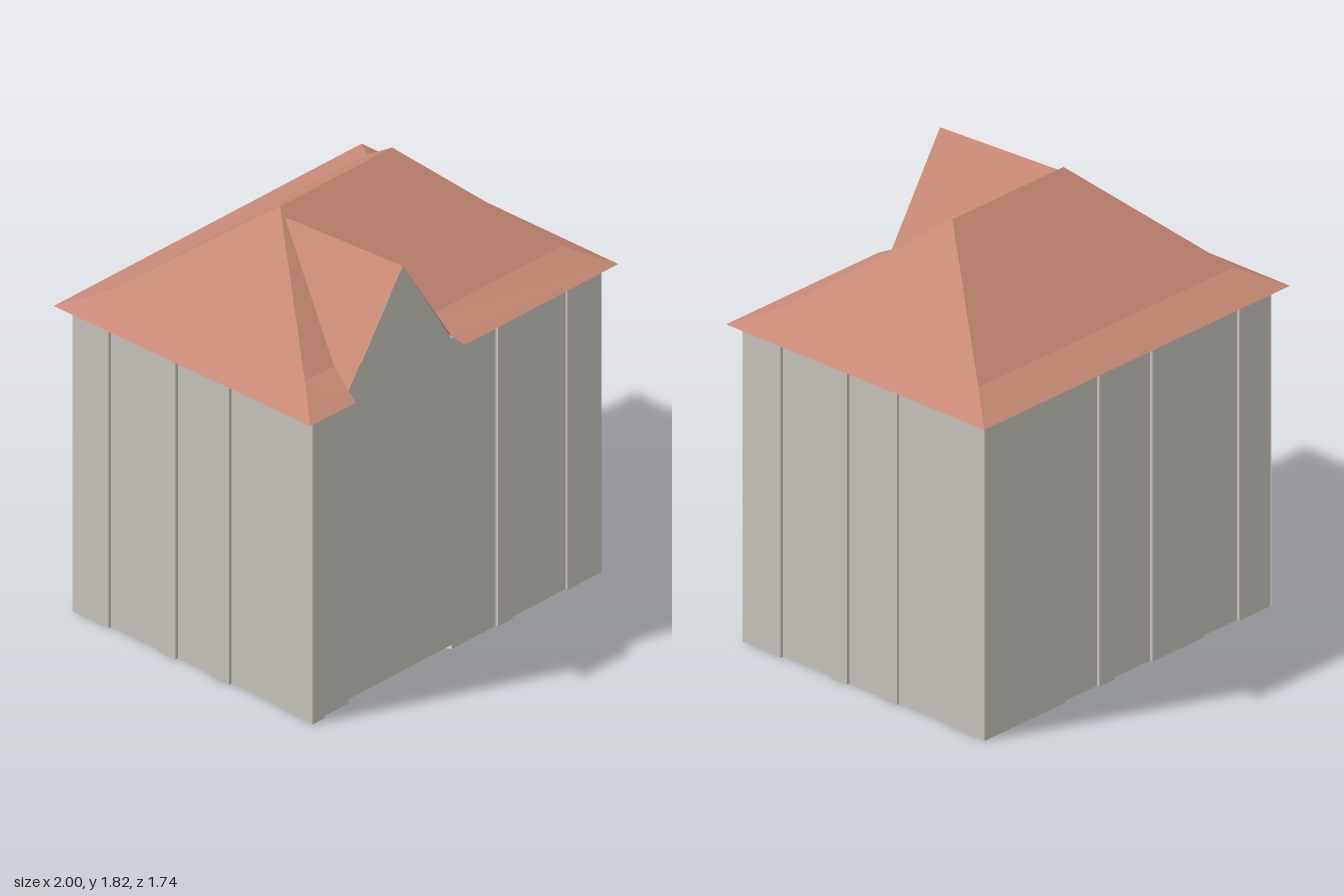
import * as THREE from 'three';

const wallMat = new THREE.MeshStandardMaterial({ color: 0xc5c3bb, side: THREE.DoubleSide });
wallMat.name = 'stone grey';
const roofMat = new THREE.MeshStandardMaterial({ color: 0xc98a76, side: THREE.DoubleSide });
roofMat.name = 'clay tile';

// Flat-shaded mesh from convex polygons, each fanned from its first corner
function facets(name, polygons, material) {
  const pos = [];
  for (const p of polygons) {
    for (let i = 1; i < p.length - 1; i++) pos.push(...p[0], ...p[i], ...p[i + 1]);
  }
  const geo = new THREE.BufferGeometry();
  geo.setAttribute('position', new THREE.Float32BufferAttribute(pos, 3));
  geo.computeVertexNormals();
  const mesh = new THREE.Mesh(geo, material);
  mesh.name = name;
  return mesh;
}

function shapeMesh(name, points, material) {
  const shape = new THREE.Shape(points.map(([x, y]) => new THREE.Vector2(x, y)));
  const mesh = new THREE.Mesh(new THREE.ShapeGeometry(shape), material);
  mesh.name = name;
  return mesh;
}

// Points along one wall that alternates between pilaster and recess at each break
function wallRun(start, end, breaks, outer, inner, toPoint) {
  const pts = [toPoint(start, outer)];
  breaks.forEach((b, i) => {
    const [a, c] = i % 2 ? [inner, outer] : [outer, inner];
    pts.push(toPoint(b, a), toPoint(b, c));
  });
  pts.push(toPoint(end, outer));
  return pts;
}

export function createModel() {
  const group = new THREE.Group();
  group.name = 'house';
  const house = new THREE.Group();
  house.name = 'turnedHouse';
  house.rotation.y = 0.269;
  group.add(house);

  const wallTop = 1.36, gableZ = 0.617;
  const gableL = -0.584, gableR = -0.015, gableTop = 1.79, peakX = -0.284;

  // Wall outlines, seen from above as [x, z]
  const along = (t, d) => [t, d], across = (t, d) => [d, t];
  const runs = {
    frontWall: wallRun(-0.795, 0.805, [-0.73, 0.23, 0.31, 0.617], 0.628, gableZ, along),
    leftWall: wallRun(0.628, -0.628, [0.43, 0.17, 0.086, -0.09, -0.173, -0.443], 0.805, 0.792, across),
    backWall: wallRun(0.805, -0.79, [0.355, 0.165, 0.08, -0.13, -0.42, -0.615], -0.628, -0.616, along),
    rightWall: wallRun(-0.628, 0.628, [-0.44, -0.18, -0.09, 0.09, 0.19, 0.46], -0.793, -0.78, across),
  };
  const outline = [];
  for (const [name, pts] of Object.entries(runs)) {
    const quads = [];
    for (let i = 0; i < pts.length - 1; i++) {
      const [a, b] = [pts[i], pts[i + 1]];
      outline.push(a);
      // The gable panel replaces this stretch of the front
      if (name === 'frontWall' && i === 2) {
        outline.push([gableL, gableZ], [-0.32, 0.05], [gableR, gableZ]);
        continue;
      }
      quads.push([[a[0], 0, a[1]], [b[0], 0, b[1]], [b[0], wallTop, b[1]], [a[0], wallTop, a[1]]]);
    }
    outline.push(pts[pts.length - 1]);
    house.add(facets(name, quads, wallMat));
  }

  // Front panel with its gable and low gap at the foot
  const gable = shapeMesh('gableWall', [
    [-0.73, 0], [gableL, 0], [gableL, 0.018], [gableR, 0.018], [gableR, 0], [0.23, 0],
    [0.23, wallTop], [gableR, wallTop], [peakX, gableTop], [gableL, wallTop], [-0.73, wallTop],
  ], wallMat);
  gable.position.z = gableZ;
  house.add(gable);

  // Floor, notched behind the gable
  const floor = shapeMesh('floor', outline, wallMat);
  floor.rotation.x = Math.PI / 2;
  house.add(floor);

  // Hipped roof with flared eaves
  const eave = (sx, sz) => [sx * 0.852, 1.345, sz * 0.67];
  const kink = (sx, sz) => [sx * 0.711, 1.42, sz * 0.508];
  const ridge = (sx) => [sx * 0.31, 1.818, 0];
  // Valley points where the front gable roof cuts the main roof
  const vL = [[-0.6, 1.345, 0.67], [gableL, 1.37, gableZ], [-0.55, 1.42, 0.508]];
  const vR = [[0.003, 1.345, 0.67], [gableR, 1.37, gableZ], [-0.056, 1.42, 0.508]];
  const peakBack = [-0.321, gableTop, 0.036], peakFront = [peakX, gableTop, gableZ];

  const roof = [
    // back slope
    [eave(1, -1), eave(-1, -1), kink(-1, -1), kink(1, -1)],
    [kink(1, -1), kink(-1, -1), ridge(-1), ridge(1)],
    // left and right hips
    [eave(1, 1), eave(1, -1), kink(1, -1), kink(1, 1)],
    [kink(1, 1), kink(1, -1), ridge(1)],
    [eave(-1, -1), eave(-1, 1), kink(-1, 1), kink(-1, -1)],
    [kink(-1, -1), kink(-1, 1), ridge(-1)],
    // front slope on each side of the gable
    [kink(-1, 1), eave(-1, 1), ...vL],
    [kink(-1, 1), vL[2], peakBack, ridge(-1)],
    [eave(1, 1), kink(1, 1), vR[2], vR[1], vR[0]],
    [ridge(1), ridge(-1), peakBack, vR[2], kink(1, 1)],
  ];
  house.add(facets('mainRoof', roof, roofMat));
  house.add(facets('gableRoof', [
    [peakFront, peakBack, vL[2], vL[1]],
    [peakFront, vR[1], vR[2], peakBack],
  ], roofMat));

  return group;
}
